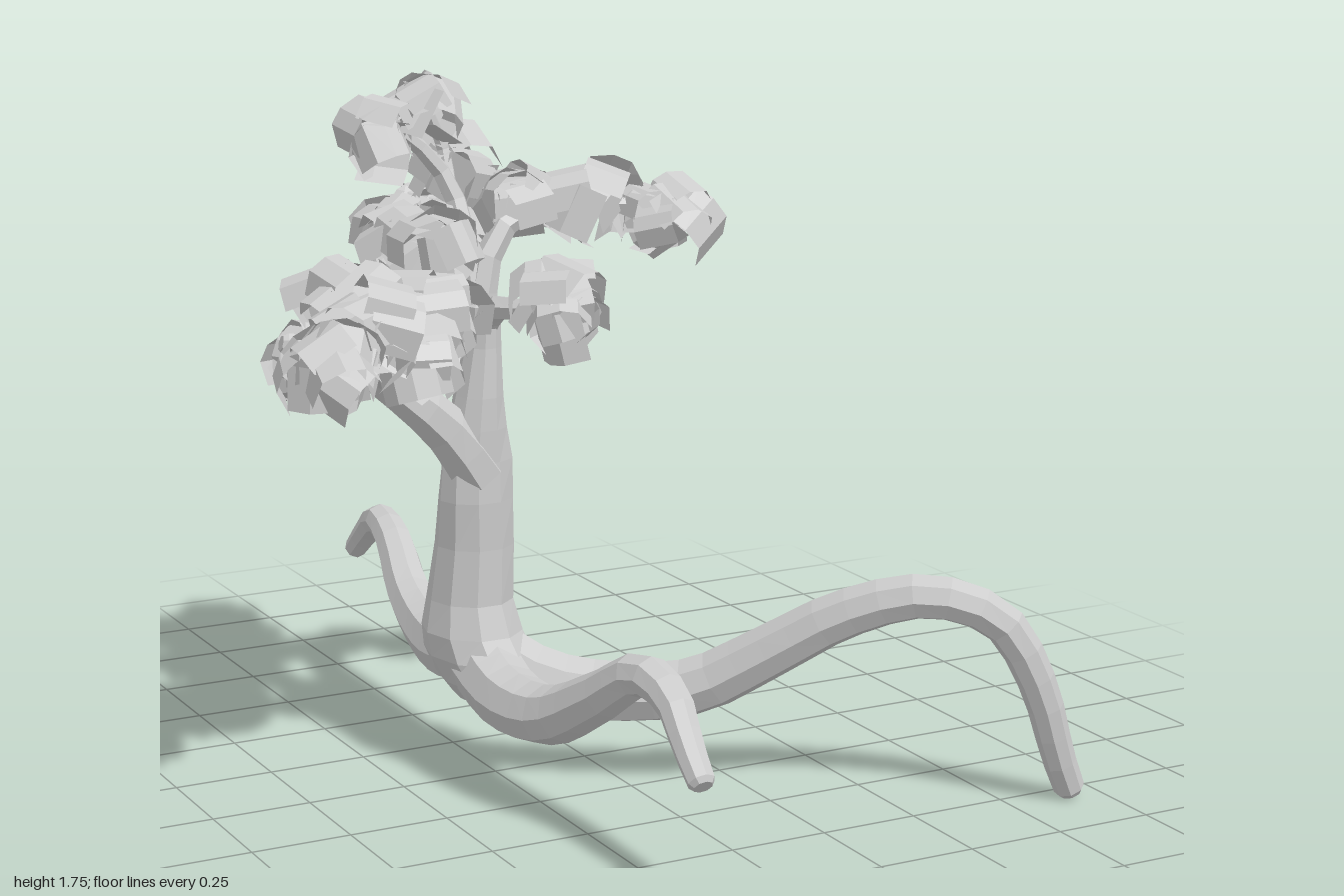
import * as THREE from 'three';

const V = (x, y, z) => new THREE.Vector3(x, y, z);
const grey = new THREE.MeshStandardMaterial({ color: 0xcccccc, flatShading: true });
grey.name = 'bark grey';
const leafGrey = new THREE.MeshStandardMaterial({ color: 0xcccccc, flatShading: true, side: THREE.DoubleSide });
leafGrey.name = 'leaf grey';

let seed = 11;
const rand = () => {
  seed = (seed * 16807) % 2147483647;
  return seed / 2147483647;
};

// Closed skin over a list of rings, capped by a point at both ends
function skin(name, rings, startTip, endTip) {
  const n = rings[0].length, pos = [], idx = [];
  rings.forEach(r => r.forEach(p => pos.push(p.x, p.y, p.z)));
  const s = rings.length * n, last = s - n;
  pos.push(...startTip.toArray(), ...endTip.toArray());
  for (let j = 0; j < n; j++) {
    const k = (j + 1) % n;
    for (let i = 0; i < rings.length - 1; i++) {
      const a = i * n + j, b = i * n + k;
      idx.push(a, b, b + n, a, b + n, a + n);
    }
    idx.push(s, k, j, s + 1, last + j, last + k);
  }
  const g = new THREE.BufferGeometry();
  g.setAttribute('position', new THREE.Float32BufferAttribute(pos, 3));
  g.setIndex(idx);
  g.computeVertexNormals();
  const mesh = new THREE.Mesh(g, grey);
  mesh.name = name;
  return mesh;
}

// Tapering limb along a smooth path, with a rounded tip
function limb(name, pts, r0, r1, steps, sides = 8) {
  const curve = new THREE.CatmullRomCurve3(pts.map(p => V(...p)));
  const { tangents, normals, binormals } = curve.computeFrenetFrames(steps);
  const ring = (c, i, r) => Array.from({ length: sides }, (_, j) => {
    const a = j / sides * Math.PI * 2;
    return c.clone().addScaledVector(normals[i], r * Math.cos(a)).addScaledVector(binormals[i], r * Math.sin(a));
  });
  const rings = [];
  for (let i = 0; i <= steps; i++) rings.push(ring(curve.getPointAt(i / steps), i, r0 + (r1 - r0) * i / steps));
  const tip = curve.getPointAt(1).addScaledVector(tangents[steps], r1 * 0.4);
  rings.push(ring(tip, steps, r1 * 0.7));
  return skin(name, rings, curve.getPointAt(0), tip);
}

// Trunk from elliptical sections: y, centre x, centre z, radius x, radius z
function trunk() {
  const sections = [
    [0.2, -0.27, -0.03, 0.06, 0.13], [0.25, -0.27, -0.025, 0.1, 0.185], [0.32, -0.28, -0.03, 0.128, 0.168],
    [0.38, -0.295, -0.035, 0.122, 0.142], [0.46, -0.3, -0.035, 0.105, 0.118], [0.6, -0.295, -0.018, 0.098, 0.1],
    [0.72, -0.3, 0.003, 0.095, 0.084], [0.82, -0.3, 0.015, 0.092, 0.07], [0.9, -0.302, 0.02, 0.074, 0.068],
    [0.98, -0.3, 0.022, 0.06, 0.066], [1.1, -0.292, 0.03, 0.045, 0.05], [1.2, -0.292, 0.035, 0.042, 0.045],
  ];
  const rings = sections.map(([y, cx, cz, rx, rz]) => Array.from({ length: 10 }, (_, j) => {
    const a = j / 10 * Math.PI * 2;
    return V(cx + rx * Math.cos(a), y, cz - rz * Math.sin(a));
  }));
  return skin('trunk', rings, V(-0.27, 0.19, -0.03), V(-0.292, 1.23, 0.035));
}

// Folded leaf card: an arch of flat panels
function leafGeometry() {
  const profile = [[-0.075, -0.055], [-0.055, 0], [-0.015, 0.018], [0.04, 0.012], [0.078, -0.045]];
  const pos = [], idx = [];
  profile.forEach(([x, y], i) => {
    pos.push(x, y, -0.06, x, y, 0.06);
    if (i) idx.push(2 * i - 2, 2 * i - 1, 2 * i + 1, 2 * i - 2, 2 * i + 1, 2 * i);
  });
  const g = new THREE.BufferGeometry();
  g.setAttribute('position', new THREE.Float32BufferAttribute(pos, 3));
  g.setIndex(idx);
  g.computeVertexNormals();
  return g;
}

// Loose leaves scattered over an ellipsoid, arching up and outward
function cluster(leaf, [x, y, z, rx, ry, rz, count]) {
  const group = new THREE.Group();
  group.name = 'leafCluster';
  group.position.set(x, y, z);
  for (let i = 0; i < count; i++) {
    const h = 1 - 2 * (i + 0.5) / count, a = i * 2.4 + rand(), w = Math.sqrt(1 - h * h);
    const dir = V(w * Math.cos(a), h, w * Math.sin(a)), reach = 0.5 + rand() * 0.55;
    const mesh = new THREE.Mesh(leaf, leafGrey);
    mesh.name = 'leaf';
    mesh.position.set(dir.x * rx, dir.y * ry, dir.z * rz).multiplyScalar(reach);
    dir.add(V(rand() - 0.5, 0.8, rand() - 0.5)).normalize();
    mesh.quaternion.setFromUnitVectors(V(0, 1, 0), dir);
    mesh.rotateY(rand() * Math.PI * 2);
    mesh.scale.setScalar(0.8 + rand() * 0.3);
    group.add(mesh);
  }
  return group;
}

export function createModel() {
  const model = new THREE.Group();
  model.name = 'tree';
  model.add(trunk());

  // Three long arching roots
  model.add(
    limb('longRoot', [[-0.29, 0.34, -0.02], [-0.17, 0.26, 0.08], [-0.04, 0.232, 0.16], [0.14, 0.255, 0.3], [0.28, 0.36, 0.43],
      [0.42, 0.475, 0.565], [0.57, 0.53, 0.695], [0.71, 0.475, 0.78], [0.8, 0.32, 0.815], [0.87, 0.12, 0.815], [0.91, 0.03, 0.81]],
      0.088, 0.038, 24),
    limb('frontRoot', [[-0.29, 0.32, -0.02], [-0.295, 0.255, 0.17], [-0.275, 0.262, 0.36], [-0.24, 0.36, 0.55], [-0.21, 0.45, 0.7],
      [-0.2, 0.42, 0.82], [-0.21, 0.34, 0.91], [-0.215, 0.28, 0.98]], 0.094, 0.033, 18),
    limb('backRoot', [[-0.28, 0.32, 0.02], [-0.28, 0.275, -0.2], [-0.265, 0.287, -0.37], [-0.245, 0.34, -0.53], [-0.225, 0.435, -0.66],
      [-0.21, 0.465, -0.79], [-0.2, 0.41, -0.89], [-0.2, 0.337, -0.98]], 0.088, 0.03, 18),
  );

  // Branches
  model.add(
    limb('leftBranch', [[-0.3, 0.78, 0.02], [-0.38, 0.89, 0.03], [-0.5, 1, 0.03], [-0.64, 1.1, 0], [-0.78, 1.14, -0.02]], 0.073, 0.028, 8, 7),
    limb('leftTwig', [[-0.54, 1.04, 0.03], [-0.67, 1.13, 0.14], [-0.82, 1.18, 0.33]], 0.034, 0.016, 5, 6),
    limb('backBranch', [[-0.295, 0.92, 0.01], [-0.29, 1.03, -0.08], [-0.28, 1.13, -0.19], [-0.25, 1.21, -0.33], [-0.19, 1.28, -0.5]], 0.052, 0.024, 8, 7),
    limb('frontBranch', [[-0.295, 1.14, 0.03], [-0.285, 1.2, 0.09], [-0.25, 1.21, 0.18], [-0.2, 1.24, 0.27]], 0.038, 0.02, 6, 6),
    limb('rightBranch', [[-0.295, 1.14, 0.03], [-0.27, 1.3, 0.01], [-0.18, 1.41, 0], [0.02, 1.42, 0], [0.2, 1.4, 0.05]], 0.04, 0.014, 8, 6),
    limb('topBranch', [[-0.3, 1.14, 0.03], [-0.31, 1.34, -0.02], [-0.33, 1.48, -0.07], [-0.42, 1.59, -0.08], [-0.53, 1.66, -0.07]], 0.04, 0.014, 8, 6),
    limb('crownTwig', [[-0.33, 1.46, -0.07], [-0.33, 1.56, -0.1], [-0.37, 1.66, -0.1]], 0.022, 0.012, 4, 6),
  );

  // Foliage: centre, spread, leaf count
  const leaf = leafGeometry();
  [
    // crown
    [-0.38, 1.68, -0.09, 0.07, 0.06, 0.07, 8], [-0.51, 1.62, -0.08, 0.05, 0.08, 0.06, 6], [-0.29, 1.52, -0.14, 0.07, 0.07, 0.08, 7],
    // right side
    [-0.16, 1.45, -0.03, 0.1, 0.06, 0.08, 9], [0.02, 1.44, -0.01, 0.11, 0.06, 0.08, 10], [0.2, 1.4, 0.05, 0.1, 0.06, 0.09, 12],
    // front
    [-0.2, 1.25, 0.27, 0.1, 0.09, 0.1, 15],
    // left side
    [-0.82, 1.18, 0.35, 0.09, 0.08, 0.11, 16], [-0.66, 1.27, 0.06, 0.09, 0.07, 0.16, 15], [-0.68, 1.23, 0.28, 0.1, 0.1, 0.1, 12],
    [-0.46, 1.21, 0.09, 0.12, 0.11, 0.11, 14], [-0.71, 1.11, -0.06, 0.07, 0.07, 0.09, 8], [-0.54, 1.15, 0.2, 0.08, 0.07, 0.08, 8],
    // back
    [-0.36, 1.34, -0.1, 0.14, 0.08, 0.12, 14], [-0.33, 1.32, -0.3, 0.12, 0.08, 0.15, 16], [-0.18, 1.33, -0.36, 0.07, 0.07, 0.13, 9],
    [-0.19, 1.33, -0.52, 0.09, 0.07, 0.1, 12], [-0.41, 1.37, 0.03, 0.09, 0.07, 0.09, 7], [-0.31, 1.33, -0.47, 0.06, 0.06, 0.07, 5],
  ].forEach(c => model.add(cluster(leaf, c)));

  return model;
}
